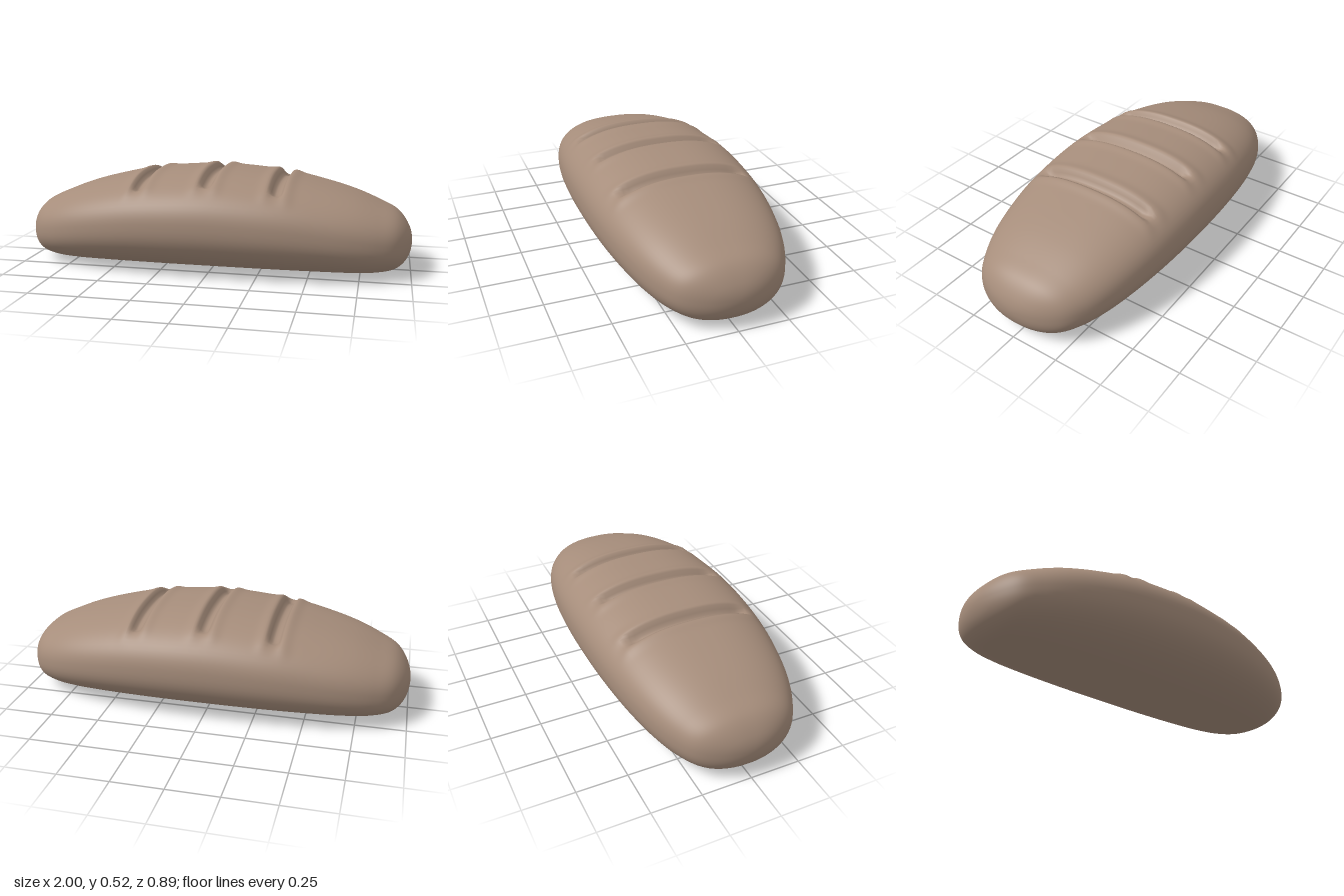
import * as THREE from 'three';
import { mergeVertices } from 'three/addons/utils/BufferGeometryUtils.js';

const STEPS = 280, SIDES = 72;

// Half profile at x = sin(90 deg * i / 8): top height, bottom height, half width
const HALF = [
  [0.508, 0, 0.445], [0.498, 0, 0.44], [0.477, 0, 0.425],
  [0.44, 0, 0.398], [0.398, 0, 0.36], [0.35, 0.005, 0.308],
  [0.305, 0.025, 0.24], [0.235, 0.08, 0.13], [0.16, 0.16, 0],
].map((p) => new THREE.Vector3(...p));

const smooth = THREE.MathUtils.smoothstep;
const power = (v, e) => Math.sign(v) * Math.pow(Math.abs(v), e);

// Height change from the three scored slits, with slightly raised lips
function slitOffset(x, z) {
  const inside = 1 - smooth(Math.abs(z), 0.27, 0.34);
  const lip = 1 - smooth(Math.abs(z), 0.33, 0.39);
  let dy = 0;
  for (const centre of [-0.345, 0, 0.345]) {
    const d = Math.abs(x - centre);
    dy -= 0.036 * inside * (1 - smooth(d, 0.012, 0.042));
    dy += 0.008 * lip * Math.exp(-Math.pow((d - 0.05) / 0.03, 2));
  }
  return dy;
}

// Loaf skin lofted from rounded cross-sections along x
function loafGeometry() {
  const profile = new THREE.CatmullRomCurve3(
    [...HALF.slice(1).reverse(), ...HALF], false, 'catmullrom', 0.5);
  const positions = [], index = [];
  for (let i = 0; i <= STEPS; i++) {
    const t = i / STEPS;
    const x = Math.sin((t * 2 - 1) * Math.PI / 2);
    const { x: top, y: bottom, z: width } = profile.getPoint(t);
    const mid = (top + bottom) / 2, half = (top - bottom) / 2;
    for (let j = 0; j < SIDES; j++) {
      const a = j / SIDES * Math.PI * 2;
      const e = 2 / (Math.cos(a) > 0 ? 2.4 : 2.2);
      const z = width * power(Math.sin(a), e);
      let y = mid + half * power(Math.cos(a), e);
      if (Math.cos(a) > 0) y += slitOffset(x, z);
      positions.push(x, Math.max(y, 0), z);
      if (i < STEPS) {
        const k = i * SIDES, n = (j + 1) % SIDES;
        index.push(k + j, k + n, k + SIDES + j, k + n, k + SIDES + n, k + SIDES + j);
      }
    }
  }
  const raw = new THREE.BufferGeometry();
  raw.setAttribute('position', new THREE.Float32BufferAttribute(positions, 3));
  raw.setIndex(index);
  const geometry = mergeVertices(raw, 1e-4);
  geometry.computeVertexNormals();
  return geometry;
}

export function createModel() {
  const crust = new THREE.MeshStandardMaterial({ color: 0xa68d7b });
  crust.name = 'crust brown';
  const loaf = new THREE.Mesh(loafGeometry(), crust);
  loaf.name = 'breadLoaf';
  const group = new THREE.Group();
  group.name = 'bread';
  group.add(loaf);
  return group;
}
